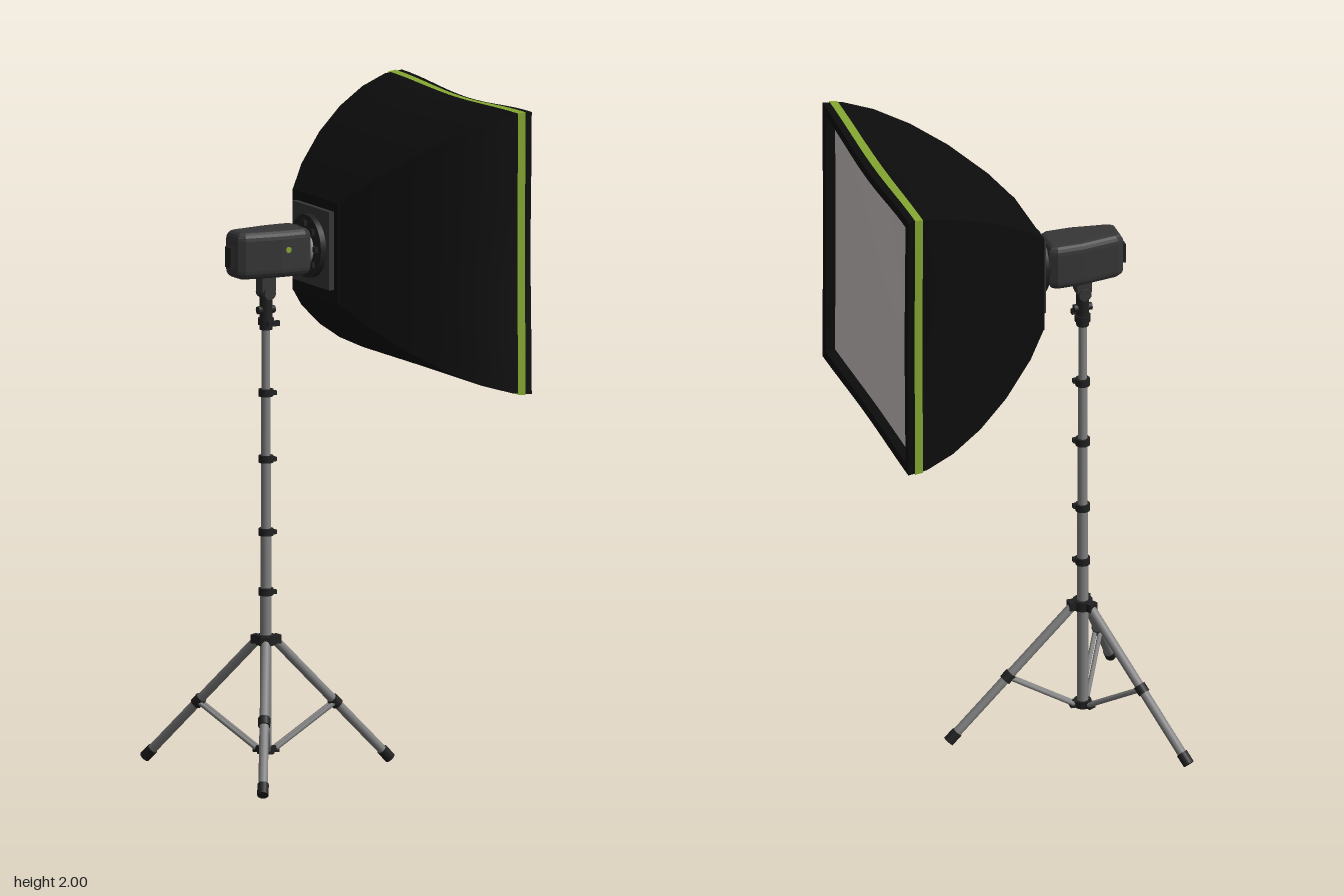
import * as THREE from 'three';

const material = (name, color, side = THREE.FrontSide) => {
  const m = new THREE.MeshStandardMaterial({ color, side });
  m.name = name;
  return m;
};

// Rectangular grid of points from fn(i, j); faces point along j-direction x i-direction
function gridGeometry(fn, rows, cols) {
  const pos = [], index = [];
  for (let i = 0; i <= rows; i++) for (let j = 0; j <= cols; j++) pos.push(...fn(i, j));
  for (let i = 0; i < rows; i++) for (let j = 0; j < cols; j++) {
    const a = i * (cols + 1) + j, b = a + 1, c = a + cols + 1, d = c + 1;
    index.push(a, b, c, b, d, c);
  }
  const g = new THREE.BufferGeometry();
  g.setAttribute('position', new THREE.Float32BufferAttribute(pos, 3));
  g.setIndex(index);
  g.computeVertexNormals();
  return g;
}

export function createModel() {
  const black = material('black fabric', 0x0c0c0c, THREE.DoubleSide);
  const green = material('green trim', 0x86a832, THREE.DoubleSide);
  const white = material('diffuser white', 0xd4cbcb, THREE.DoubleSide);
  const charcoal = material('charcoal plastic', 0x363636);
  const dark = material('dark plastic', 0x202020);
  const steel = material('grey metal', 0x828282);

  const model = new THREE.Group();
  model.name = 'studioLight';
  const group = (name) => {
    const g = new THREE.Group();
    g.name = name;
    model.add(g);
    return g;
  };
  const add = (parent, name, geo, mat, x = 0, y = 0, z = 0) => {
    const m = new THREE.Mesh(geo, mat);
    m.name = name;
    m.position.set(x, y, z);
    parent.add(m);
    return m;
  };
  const UP = new THREE.Vector3(0, 1, 0);
  // Cylinder between two points
  const rod = (parent, name, a, b, r, mat, sides = 16, r2 = r) => {
    const from = new THREE.Vector3(...a), to = new THREE.Vector3(...b);
    const dir = to.clone().sub(from);
    const m = add(parent, name, new THREE.CylinderGeometry(r2, r, dir.length(), sides), mat);
    m.position.copy(from).add(to).multiplyScalar(0.5);
    m.quaternion.setFromUnitVectors(UP, dir.normalize());
    return m;
  };

  // Softbox: square sections swept along x, edges sagging inward toward the front
  const CY = 1.575, ASPECT = 1.0625;
  const softbox = group('softbox');
  const sides = (name, profile, mat) => {
    for (let k = 0; k < 4; k++) {
      const c = Math.round(Math.cos(k * Math.PI / 2)), s = Math.round(Math.sin(k * Math.PI / 2));
      const cols = 16;
      add(softbox, name, gridGeometry((i, j) => {
        const [x, h] = profile[i];
        const t = j / cols * 2 - 1;
        const depth = k === 0 ? 0.045 : 0.018;
        const sag = 1 - depth * Math.pow((x + 0.06) / 0.51, 6) * Math.pow(Math.cos(t * Math.PI / 2), 2);
        return [x, CY + (c * sag - s * t) * h * ASPECT, (s * sag + c * t) * h];
      }, profile.length - 1, cols), mat);
    }
  };
  sides('softboxShell', [[-0.06, 0.143], [0, 0.2], [0.1, 0.272], [0.2, 0.328],
    [0.3, 0.37], [0.39, 0.395], [0.45, 0.4]], black);
  sides('trimStripe', [[0.404, 0.399], [0.429, 0.401]], green);
  sides('frontRim', [[0.45, 0.4], [0.45, 0.372]], black);
  sides('rimInnerWall', [[0.45, 0.372], [0.42, 0.37]], black);
  // Diffuser cloth with faint ripples
  add(softbox, 'diffuser', gridGeometry((i, j) => {
    const u = i / 20 * 2 - 1, v = j / 20 * 2 - 1;
    const fade = (1 - u * u) * (1 - v * v);
    return [0.42 + fade * (0.006 + 0.004 * Math.sin(4 * u + 3 * v)), CY + v * 0.396, -u * 0.374];
  }, 20, 20), white);
  add(softbox, 'softboxBack', new THREE.BoxGeometry(0.004, 0.304, 0.286), black, -0.06, CY, 0);

  // Mounting ring between lamp and softbox
  const mount = group('mountingRing');
  add(mount, 'mountPlate', new THREE.BoxGeometry(0.017, 0.236, 0.226), charcoal, -0.0695, 1.58, 0);
  rod(mount, 'mountDisc', [-0.096, 1.58, 0], [-0.076, 1.58, 0], 0.095, dark, 32);
  rod(mount, 'mountCollar', [-0.116, 1.575, 0], [-0.094, 1.575, 0], 0.05, steel, 32);
  for (let i = 0; i < 8; i++) {
    const a = i * Math.PI / 4;
    add(mount, 'mountTab', new THREE.BoxGeometry(0.012, 0.016, 0.016), dark,
      -0.1, 1.58 + Math.sin(a) * 0.07, Math.cos(a) * 0.07);
  }

  // Lamp head: tapered plan outline, rounded over top and bottom
  const lamp = group('lampHead');
  const half = [[-0.345, 0.036], [-0.325, 0.05], [-0.21, 0.067], [-0.13, 0.067], [-0.108, 0.053]];
  const outline = [...half.map(([x, z]) => new THREE.Vector2(x, -z)),
    ...half.slice().reverse().map(([x, z]) => new THREE.Vector2(x, z))];
  const bodyGeo = new THREE.ExtrudeGeometry(new THREE.Shape(outline), {
    depth: 0.09, bevelEnabled: true, bevelThickness: 0.026, bevelSize: 0.02, bevelOffset: -0.02, bevelSegments: 4,
  });
  bodyGeo.rotateX(-Math.PI / 2);
  add(lamp, 'lampBody', bodyGeo, charcoal, 0, 1.529, 0);
  add(lamp, 'rearPanel', new THREE.BoxGeometry(0.03, 0.062, 0.036), dark, -0.344, 1.568, 0);
  const dot = add(lamp, 'indicatorDot', new THREE.CylinderGeometry(0.009, 0.009, 0.004, 12), green, -0.19, 1.587, 0.068);
  dot.rotation.x = Math.PI / 2;

  // Tilt bracket and knobs
  const X = -0.23;
  const bracket = group('tiltBracket');
  add(bracket, 'bracketBlock', new THREE.BoxGeometry(0.046, 0.05, 0.04), charcoal, X, 1.482, 0);
  rod(bracket, 'bracketSocket', [X, 1.34, 0], [X, 1.465, 0], 0.019, dark);
  rod(bracket, 'tiltPivot', [X, 1.452, -0.028], [X, 1.452, 0.028], 0.019, charcoal);
  rod(bracket, 'clampKnob', [X - 0.028, 1.4, 0], [X + 0.028, 1.4, 0], 0.012, dark, 8);
  rod(bracket, 'clampScrew', [X, 1.365, 0], [X, 1.365, 0.045], 0.007, dark, 8);
  add(bracket, 'clampHandle', new THREE.BoxGeometry(0.04, 0.016, 0.012), dark, X, 1.365, 0.045);
  add(bracket, 'clampBand', new THREE.CylinderGeometry(0.024, 0.024, 0.02, 16), dark, X, 1.365, 0);

  // Telescoping column with locking collars
  const column = group('column');
  const joints = [0.07, 0.55, 0.73, 0.95, 1.15, 1.36];
  for (let i = 0; i < joints.length - 1; i++) {
    const r = 0.017 - i * 0.001;
    rod(column, 'columnTube', [X, joints[i], 0], [X, joints[i + 1], 0], r, steel);
    if (i === 0) continue;
    rod(column, 'collar', [X, joints[i] - 0.011, 0], [X, joints[i] + 0.011, 0], 0.022, dark);
    add(column, 'collarLever', new THREE.BoxGeometry(0.028, 0.013, 0.014), dark, X + 0.013, joints[i], 0.012);
  }
  rod(column, 'legHub', [X, 0.39, 0], [X, 0.42, 0], 0.03, dark);
  rod(column, 'braceHub', [X, 0.062, 0], [X, 0.084, 0], 0.026, dark);

  // Three folding legs with braces
  for (let k = 0; k < 3; k++) {
    const leg = group('leg');
    leg.position.x = X;
    leg.rotation.y = k * Math.PI * 2 / 3;
    const at = (t) => [0.028 + 0.392 * t, 0.405 - 0.393 * t, 0];
    rod(leg, 'legTube', at(0), at(0.95), 0.014, steel);
    rod(leg, 'foot', at(0.93), at(1), 0.017, dark);
    rod(leg, 'braceSleeve', at(0.5), at(0.55), 0.018, dark);
    add(leg, 'hubLug', new THREE.BoxGeometry(0.03, 0.026, 0.03), dark, 0.03, 0.405, 0);
    add(leg, 'braceLug', new THREE.BoxGeometry(0.024, 0.018, 0.024), dark, 0.028, 0.074, 0);
    for (const z of [-0.008, 0.008]) rod(leg, 'brace', [0.03, 0.076, z], [0.232, 0.198, z], 0.007, steel, 8);
  }
  return model;
}
